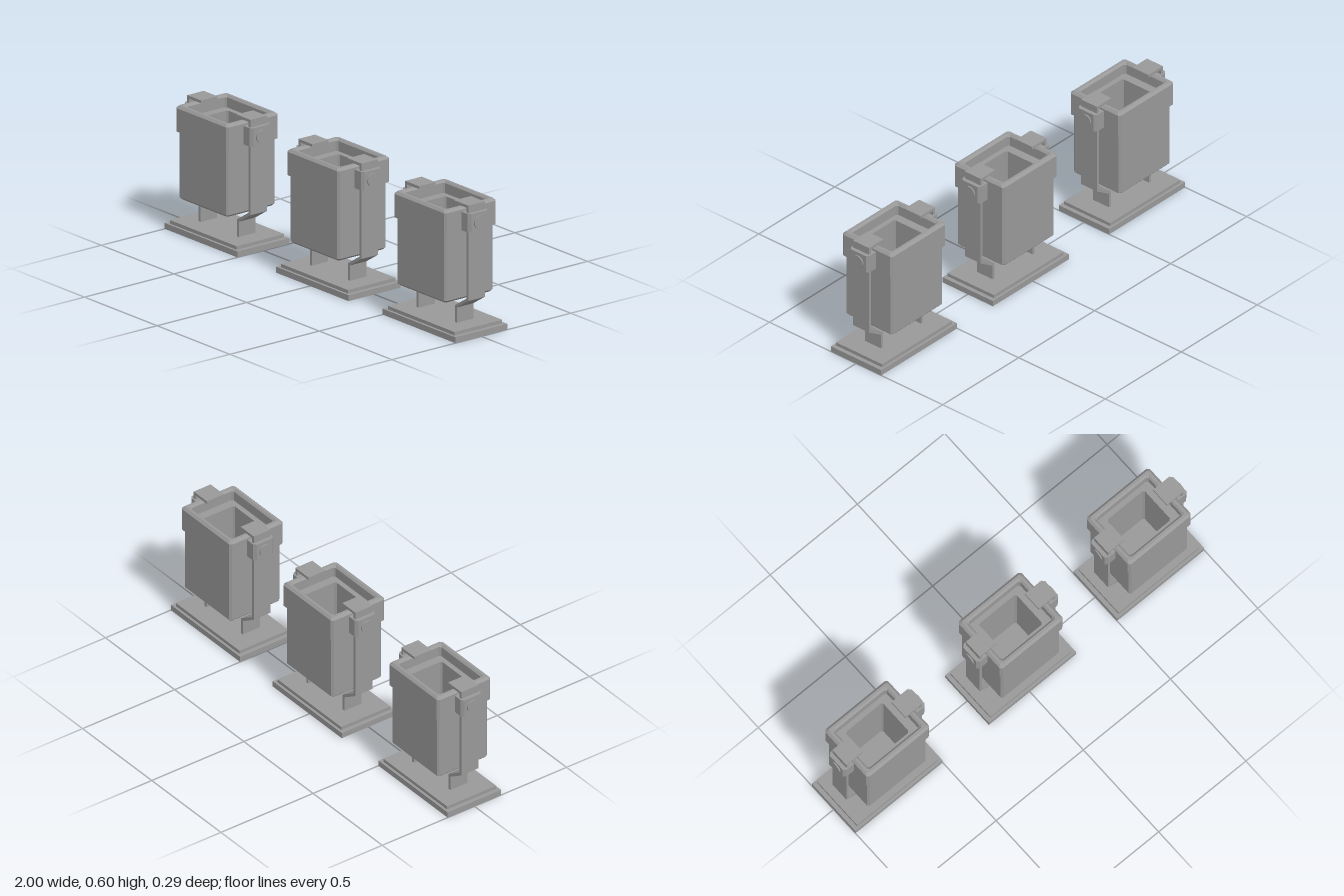
import * as THREE from 'three';

const grey = new THREE.MeshStandardMaterial({ color: 0x999999 });
grey.name = 'grey metal';

// Rectangle with cut corners at height y: [half width, half depth, corner cut, y]
function ring([hx, hz, c, y]) {
  return [
    [hx, -hz + c], [hx, hz - c], [hx - c, hz], [-hx + c, hz],
    [-hx, hz - c], [-hx, -hz + c], [-hx + c, -hz], [hx - c, -hz],
  ].map(([x, z]) => [x, y, z]);
}

// Skin a stack of rings with flat faces, with optional end caps
function loft(sections, capStart, capEnd) {
  const rings = sections.map(ring);
  const pos = [];
  const tri = (...pts) => pts.forEach((p) => pos.push(...p));
  for (let r = 0; r < rings.length - 1; r++) {
    for (let i = 0; i < 8; i++) {
      const j = (i + 1) % 8;
      const [lo, hi] = [rings[r], rings[r + 1]];
      tri(lo[i], hi[i], hi[j]);
      tri(lo[i], hi[j], lo[j]);
    }
  }
  const first = rings[0];
  const last = rings[rings.length - 1];
  for (let i = 1; i < 7; i++) {
    if (capStart) tri(first[0], first[i], first[i + 1]);
    if (capEnd) tri(last[0], last[i + 1], last[i]);
  }
  const geo = new THREE.BufferGeometry();
  geo.setAttribute('position', new THREE.Float32BufferAttribute(pos, 3));
  geo.computeVertexNormals();
  return geo;
}

function extrude(points, depth) {
  const shape = new THREE.Shape(points.map(([x, y]) => new THREE.Vector2(x, y)));
  return new THREE.ExtrudeGeometry(shape, { depth, bevelEnabled: false })
    .translate(0, 0, -depth / 2);
}

function add(parent, name, geo) {
  const mesh = new THREE.Mesh(geo, grey);
  mesh.name = name;
  parent.add(mesh);
  return mesh;
}

// Bent strap, pivot block and pivot knob on one side of the bin
function createSupport(name) {
  const side = new THREE.Group();
  side.name = name;
  add(side, 'strap', extrude([
    [0.125, 0.04], [0.138, 0.04], [0.138, 0.113], [0.217, 0.163], [0.217, 0.6],
    [0.122, 0.6], [0.122, 0.587], [0.204, 0.587], [0.204, 0.171], [0.125, 0.121],
  ], 0.092));
  const block = extrude([
    [0.175, -0.054], [0.222, -0.054], [0.235, -0.043],
    [0.235, 0.043], [0.222, 0.054], [0.175, 0.054],
  ], 0.085);
  add(side, 'pivotBlock', block.rotateX(Math.PI / 2).translate(0, 0.5225, 0));
  const knob = new THREE.CylinderGeometry(0.029, 0.029, 0.02, 28).rotateZ(Math.PI / 2);
  add(side, 'pivotKnob', knob).position.set(0.231, 0.521, 0);
  return side;
}

function createBin() {
  const bin = new THREE.Group();
  bin.name = 'bin';

  // Two-step foot plate
  add(bin, 'basePlate', new THREE.BoxGeometry(0.5, 0.027, 0.29)).position.y = 0.0135;
  add(bin, 'upperPlate', new THREE.BoxGeometry(0.46, 0.016, 0.266)).position.y = 0.035;

  // Container with bevelled bottom edge
  add(bin, 'container', loft([
    [0.158, 0.127, 0.008, 0.157],
    [0.168, 0.136, 0.009, 0.167],
    [0.168, 0.136, 0.009, 0.467],
  ], true, false));

  // Collar, inner ledge and the well inside it
  add(bin, 'collar', loft([
    [0.168, 0.136, 0.009, 0.467],
    [0.18, 0.145, 0.01, 0.467],
    [0.18, 0.145, 0.01, 0.574],
    [0.169, 0.134, 0.009, 0.585],
    [0.157, 0.123, 0.009, 0.585],
    [0.148, 0.114, 0.009, 0.576],
    [0.148, 0.114, 0.009, 0.53],
    [0.107, 0.09, 0.008, 0.53],
    [0.107, 0.09, 0.008, 0.18],
  ], false, true));

  bin.add(createSupport('leftSupport'));
  const right = createSupport('rightSupport');
  right.rotation.y = Math.PI;
  bin.add(right);
  return bin;
}

export function createModel() {
  const model = new THREE.Group();
  model.name = 'binRow';
  for (const x of [-0.75, 0.015, 0.75]) {
    const bin = createBin();
    bin.position.x = x;
    model.add(bin);
  }
  return model;
}
